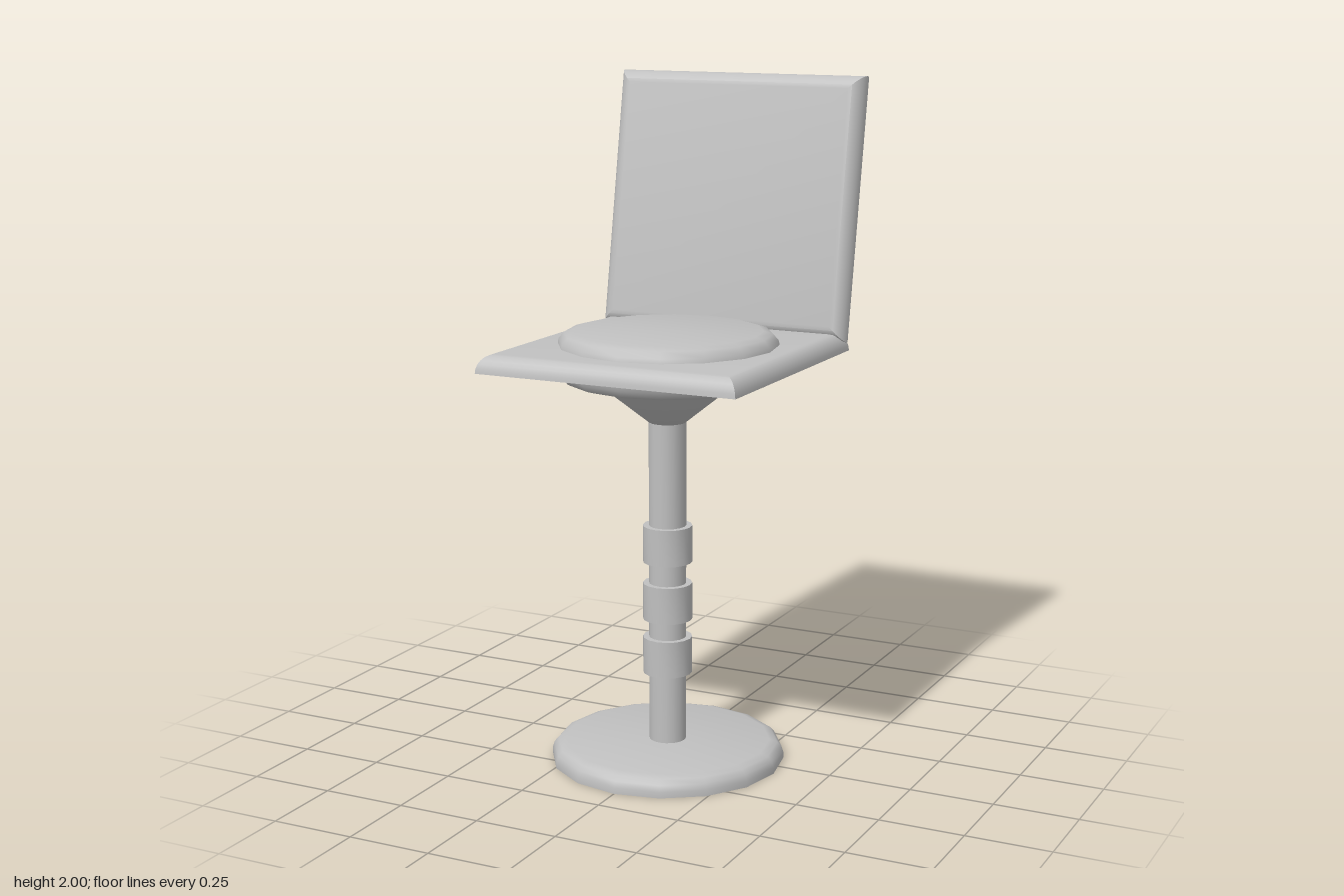
import * as THREE from 'three';
import { toCreasedNormals } from 'three/addons/utils/BufferGeometryUtils.js';

const AXIS_Z = 0.06;

// Flat-bottomed panel whose upper edges are quarter-rounded and mitred at the corners.
// Footprint is w by d on the XZ plane, thickness t along +y.
function paddedPanel(w, d, t, inset) {
  const pos = [], steps = 6, loops = [];
  for (let i = 0; i <= steps; i++) {
    const a = (i / steps) * Math.PI / 2;
    const off = inset * (1 - Math.cos(a)), y = t * Math.sin(a);
    const x = w / 2 - off, z = d / 2 - off;
    loops.push([[-x, y, z], [x, y, z], [x, y, -z], [-x, y, -z]]);
  }
  const quad = (a, b, c, e) => pos.push(...a, ...b, ...c, ...a, ...c, ...e);
  for (let i = 0; i < steps; i++) {
    for (let k = 0; k < 4; k++) {
      const n = (k + 1) % 4;
      quad(loops[i][k], loops[i][n], loops[i + 1][n], loops[i + 1][k]);
    }
  }
  quad(...loops[steps]);
  quad(...loops[0].slice().reverse());
  const g = new THREE.BufferGeometry();
  g.setAttribute('position', new THREE.Float32BufferAttribute(pos, 3));
  return toCreasedNormals(g, 0.5);
}

// Turned part from a [radius, y] profile listed bottom to top.
function turned(profile, sides = 16) {
  const g = new THREE.LatheGeometry(profile.map(([r, y]) => new THREE.Vector2(r, y)), sides);
  return toCreasedNormals(g, 0.7);
}

export function createModel() {
  const model = new THREE.Group();
  model.name = 'swivelStool';
  const grey = new THREE.MeshStandardMaterial({ color: 0xc0c0c0 });
  grey.name = 'grey';

  const add = (name, geometry, x = 0, y = 0, z = AXIS_Z) => {
    const mesh = new THREE.Mesh(geometry, grey);
    mesh.name = name;
    mesh.position.set(x, y, z);
    model.add(mesh);
    return mesh;
  };

  // Floor disc with a softened upper rim
  add('base', turned([
    [0, 0], [0.347, 0], [0.347, 0.018], [0.341, 0.036], [0.328, 0.05], [0.305, 0.057], [0, 0.057],
  ]));

  // Column and its three collars
  add('column', turned([[0.055, 0.04], [0.055, 1.04]]));
  for (const y of [0.265, 0.43, 0.605]) {
    add('collar', turned([[0.05, y], [0.073, y], [0.073, y + 0.11], [0.05, y + 0.11]]));
  }

  // Flared support under the seat
  add('seatSupport', turned([[0, 1.025], [0.055, 1.025], [0.212, 1.15]]));

  // Round cushion that passes through the seat panel
  add('cushion', turned([
    [0, 1.145], [0.275, 1.145], [0.302, 1.153], [0.318, 1.172], [0.323, 1.198],
    [0.323, 1.242], [0.318, 1.268], [0.302, 1.287], [0.275, 1.295], [0, 1.295],
  ]), 0.003);

  // Square seat panel
  add('seat', paddedPanel(0.805, 0.805, 0.053, 0.042), 0, 1.202, 0.062);

  // Leaning backrest: the same panel stood up with its rounded side to the front
  const lean = THREE.MathUtils.degToRad(10), height = 0.785;
  const back = add('backrest', paddedPanel(0.805, height, 0.053, 0.042), 0,
    2.0 - Math.cos(lean) * height / 2, -0.464 + Math.sin(lean) * height / 2);
  back.rotation.x = Math.PI / 2 - lean;

  return model;
}
